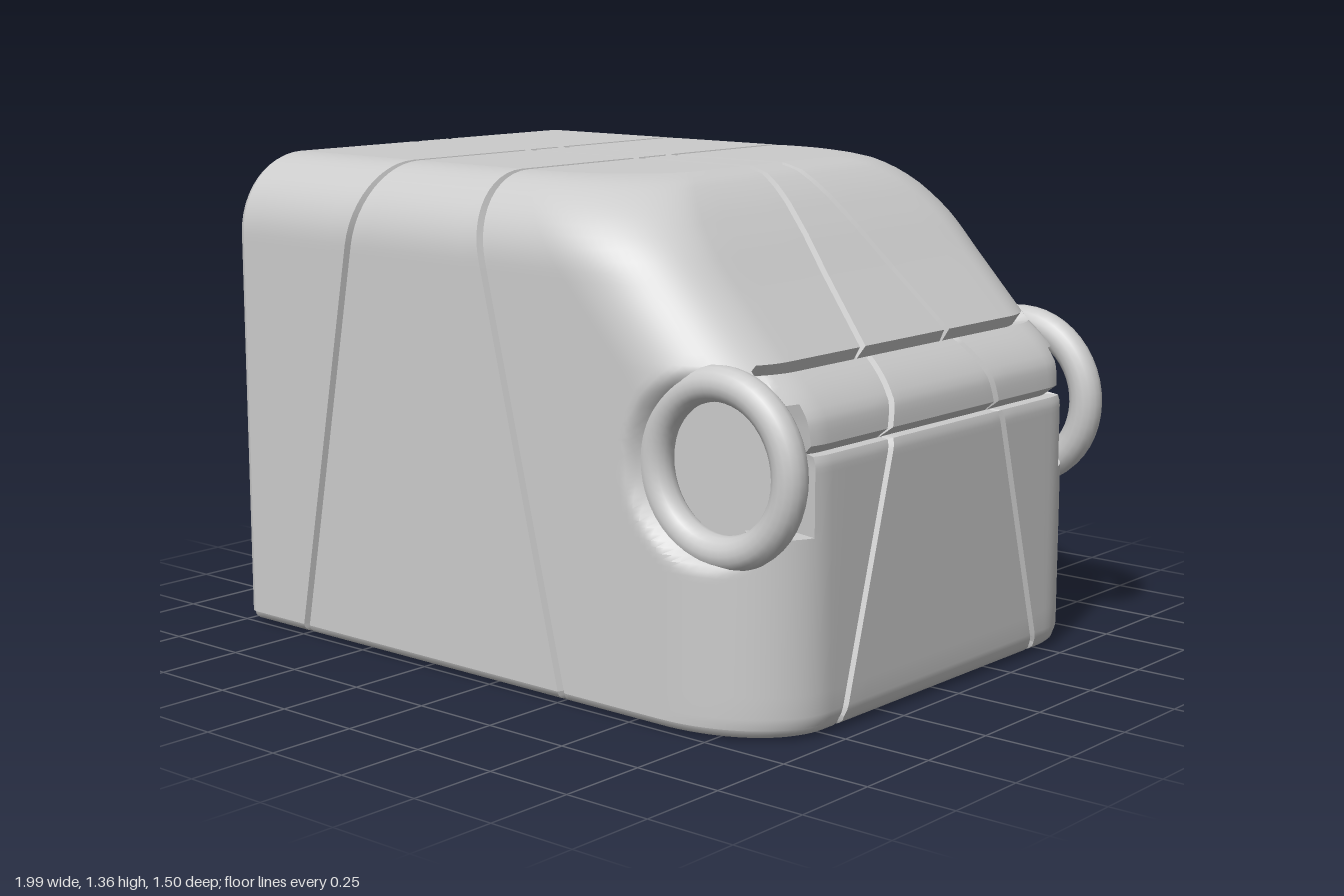
import * as THREE from 'three';
import { toCreasedNormals } from 'three/addons/utils/BufferGeometryUtils.js';

const TOP = 1.36, WALL = 0.11, GAP = 0.012, DEPTH = 0.035;
const CORNER_X = 0.34, CORNER_Z = 0.25; // elliptical front corners
const BACK = -0.96, HOLE = { x: 0.74, y: 0.68, z: 0.675 };
const { lerp, clamp, smoothstep } = THREE.MathUtils;

// Nose position by height: upright front, sloping hood, rounded into the roof
const NOSE = [[0, 0.93], [0.05, 0.95], [0.7, 0.95], [0.8, 0.91], [0.92, 0.82], [1.1, 0.65],
  [1.2, 0.56], [1.28, 0.48], [1.32, 0.43], [1.345, 0.39], [TOP, 0.33]];
function noseX(y) {
  const k = clamp(NOSE.findIndex(p => p[0] >= y), 1, NOSE.length - 1);
  const [a, b] = [NOSE[k - 1], NOSE[k]];
  return lerp(a[1], b[1], (y - a[0]) / (b[0] - a[0]));
}
// Half width by height, with rounded shoulders
const halfWidth = y => 0.53 + (y < 1.14 ? 0.22 : Math.sqrt(Math.max(0, 0.0484 - (y - 1.14) ** 2)));

// Values through a list of stops, each reached in the given number of steps
function steps(start, ...stops) {
  const out = [start];
  for (const [to, n] of stops) {
    const from = out[out.length - 1];
    for (let i = 1; i <= n; i++) out.push(lerp(from, to, i / n));
  }
  return out;
}

const SEAMS = [0.73, 0.92];
const LEVELS = steps(0.03, [0.06, 2], [0.4, 6], [0.73 - GAP, 22], [0.73, 1], [0.73 + GAP, 1],
  [0.92 - GAP, 11], [0.92, 1], [0.92 + GAP, 1], [1.14, 8]);
for (let i = 1; i <= 12; i++) LEVELS.push(1.14 + 0.22 * Math.sin(i / 12 * Math.PI / 2));

const ARC_STEPS = 20, ARC_END = 6 + 2 + 8 + 2 + 24 + ARC_STEPS; // last outline index of the corner

// U-shaped plan outline at one height, left back corner round the nose to right back
function outline(y, inner) {
  const t = y / TOP, inset = inner ? WALL : 0;
  const w = halfWidth(y) - inset, nose = noseX(y) - inset;
  const rx = CORNER_X - inset, rz = CORNER_Z - inset;
  const a = lerp(-0.74, -0.48, t), b = lerp(0.27, -0.06, t), c = lerp(0.45, 0.07, t);
  const half = [];
  const xs = steps(BACK, [a - GAP, 6], [a, 1], [a + GAP, 1], [b - GAP, 8], [b, 1], [b + GAP, 1], [nose - rx, 24]);
  xs.forEach((x, i) => half.push({ x, z: w, nx: 0, nz: 1, groove: i === 7 || i === 17 }));
  for (let i = 1; i <= ARC_STEPS; i++) {
    const s = Math.sin(i / ARC_STEPS * Math.PI / 2), k = Math.cos(i / ARC_STEPS * Math.PI / 2);
    const len = Math.hypot(s * rz, k * rx);
    half.push({ x: nose - rx + rx * s, z: w - rz + rz * k, nx: s * rz / len, nz: k * rx / len, front: i > 14 });
  }
  steps(w - rz, [c + GAP, 4], [c, 1], [c - GAP, 1], [0, 6]).slice(1)
    .forEach((z, i) => half.push({ x: nose, z, nx: 1, nz: 0, front: true, groove: i === 4 }));

  const slopeX = (noseX(y - 0.01) - noseX(y)) / 0.01, slopeW = (halfWidth(y - 0.01) - halfWidth(y)) / 0.01;
  const h = inner && y > 1 ? 1 + (y - 1) * (TOP - WALL - 1) / (TOP - 1) : y;
  const pts = half.map(p => {
    // Panel grooves, and the raised cross band on the nose
    let d = p.groove ? -DEPTH : 0;
    if (p.front && SEAMS.some(s => Math.abs(s - y) < 1e-6)) d = -DEPTH;
    else if (p.front && y > SEAMS[0] && y < SEAMS[1]) d += 0.022 * Math.sin((y - 0.73) / 0.19 * Math.PI);
    if (inner) d *= -0.5;
    const n = new THREE.Vector3(p.nx, p.nx ** 2 * slopeX + p.nz ** 2 * slopeW, p.nz).normalize();
    const v = new THREE.Vector3(p.x, h, p.z).addScaledVector(n, d);
    if (p.nz === 1) v.x = p.x;
    // Round the side into the opening
    const near = 1 - smoothstep(Math.hypot(v.x - HOLE.x, v.y - HOLE.y), 0.185, 0.26);
    if (v.z > HOLE.z) v.z = lerp(v.z, HOLE.z, near);
    return v;
  });
  return pts.concat(pts.slice(0, -1).reverse().map(mirror));
}
const mirror = p => new THREE.Vector3(p.x, p.y, -p.z);

const material = new THREE.MeshStandardMaterial({ color: 0xcccccc, side: THREE.DoubleSide });

function quadMesh(name, quads) {
  const pos = [];
  for (const [a, b, c, d] of quads) for (const p of [a, b, c, a, c, d]) pos.push(p.x, p.y, p.z);
  const g = new THREE.BufferGeometry();
  g.setAttribute('position', new THREE.Float32BufferAttribute(pos, 3));
  const mesh = new THREE.Mesh(toCreasedNormals(g, 0.75), material);
  mesh.name = name;
  return mesh;
}

// Surface through rows of points, leaving out cells marked as open
function grid(name, rows, flip, open = () => false) {
  const quads = [];
  for (let j = 0; j + 1 < rows.length; j++) for (let i = 0; i + 1 < rows[j].length; i++) {
    if (open(j, i)) continue;
    const q = [rows[j][i], rows[j][i + 1], rows[j + 1][i + 1], rows[j + 1][i]];
    quads.push(flip ? q.reverse() : q);
  }
  return quadMesh(name, quads);
}

// Flat roof from side to side with two lengthwise grooves
function roofRows(edge, inner) {
  const depth = inner ? -DEPTH / 2 : DEPTH, y = inner ? TOP - WALL : TOP;
  return edge.slice(0, ARC_END + 1).map((p, i) => {
    const across = i === 7 || i === 17;
    const left = steps(p.z, [0.07 + GAP, 5], [0.07, 1], [0.07 - GAP, 1], [0, 1]).map((z, k) =>
      k === 0 ? p : new THREE.Vector3(p.x, y - (across || k === 6 ? depth : 0), z));
    return left.concat(left.slice(0, -1).reverse().map(mirror));
  });
}

// Rounded strip joining an outer edge to an inner edge
function rim(name, outer, inner, push, flip) {
  const rows = steps(0, [Math.PI, 8]).map(a => outer.map((p, i) =>
    p.clone().lerp(inner[i], (1 - Math.cos(a)) / 2).addScaledVector(push, Math.sin(a))));
  return grid(name, rows, flip);
}

export function createModel() {
  const group = new THREE.Group();
  const outer = LEVELS.map(y => outline(y, false)), inner = LEVELS.map(y => outline(y, true));

  // Round side openings that break out through the front corners
  const open = (j, i) => {
    if (j < 0 || i < 0 || j + 1 >= outer.length || i + 1 >= outer[0].length) return false;
    const c = outer[j][i].clone().add(outer[j + 1][i + 1]).multiplyScalar(0.5);
    const dy = Math.abs(c.y - HOLE.y);
    return Math.abs(c.z) > 0.555 && (Math.hypot(c.x - HOLE.x, dy) < 0.19 || (c.x > HOLE.x && dy < 0.16));
  };
  group.add(grid('outerShell', outer, false, open), grid('innerShell', inner, true, open));

  // Edges of the openings
  const edges = [];
  for (let j = 0; j + 1 < outer.length; j++) for (let i = 0; i + 1 < outer[0].length; i++) {
    if (!open(j, i)) continue;
    const wall = (j1, i1, j2, i2) => edges.push([outer[j1][i1], outer[j2][i2], inner[j2][i2], inner[j1][i1]]);
    if (!open(j - 1, i)) wall(j, i, j, i + 1);
    if (!open(j + 1, i)) wall(j + 1, i, j + 1, i + 1);
    if (!open(j, i - 1)) wall(j, i, j + 1, i);
    if (!open(j, i + 1)) wall(j, i + 1, j + 1, i + 1);
  }
  group.add(quadMesh('openingEdges', edges));

  // Roof and its lining
  const roof = roofRows(outer.at(-1), false), lining = roofRows(inner.at(-1), true);
  group.add(grid('roof', roof, true), grid('roofLining', lining, false));

  // Rims of the open back and bottom
  const arch = (rows, top) => [...rows.map(r => r[0]), ...top[0].slice(1, -1), ...rows.map(r => r.at(-1)).reverse()];
  group.add(rim('backRim', arch(outer, roof), arch(inner, lining), new THREE.Vector3(-0.035, 0, 0), false));
  group.add(rim('bottomRim', outer[0], inner[0], new THREE.Vector3(0, -0.03, 0), true));

  // Side rings
  for (const [name, s] of [['rightRing', -1], ['leftRing', 1]]) {
    const ring = new THREE.Mesh(new THREE.TorusGeometry(0.213, 0.046, 16, 48), material);
    ring.name = name;
    ring.position.set(HOLE.x, HOLE.y, s * HOLE.z);
    group.add(ring);
  }
  return group;
}
